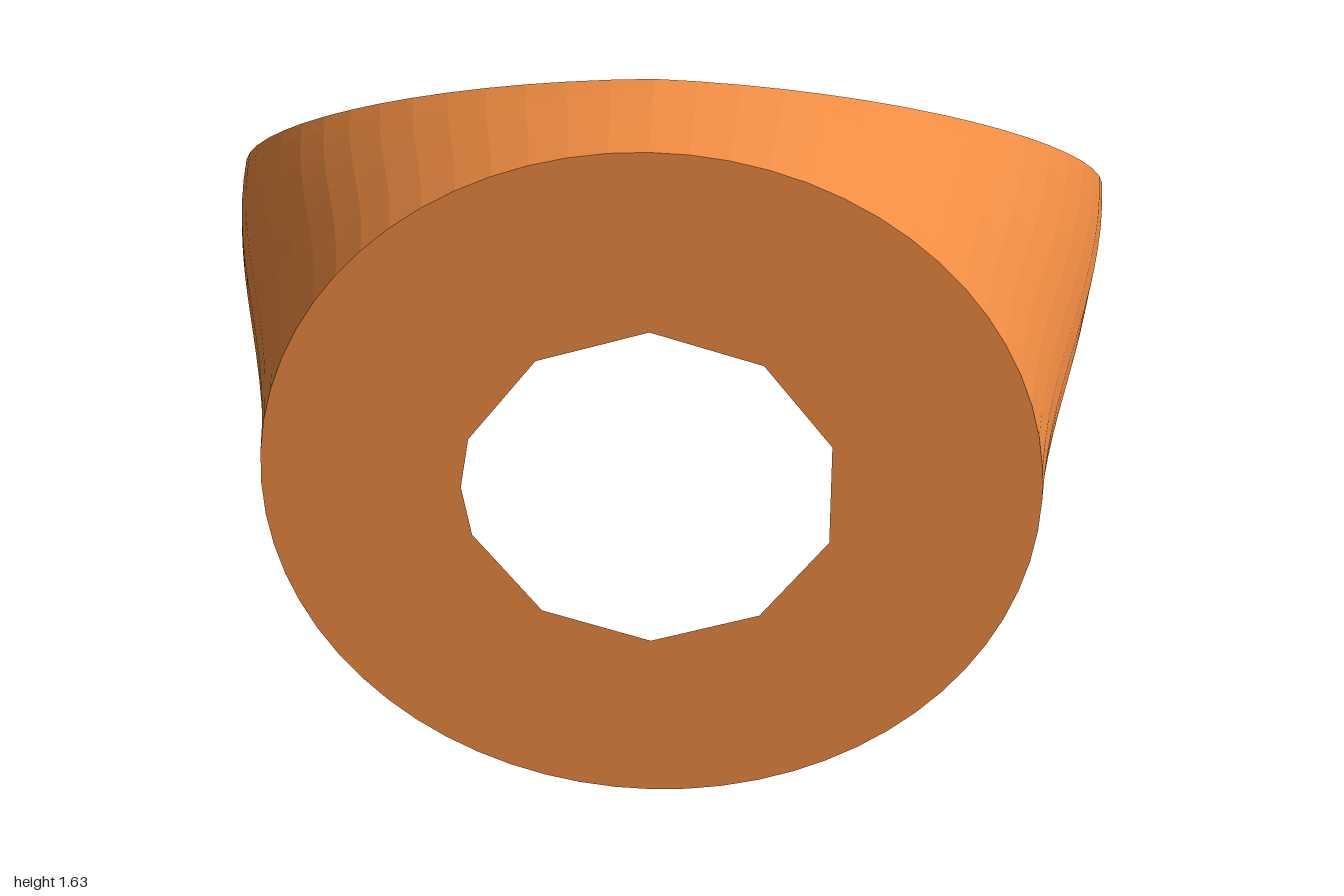
import * as THREE from 'three';

const V = (x, y, z) => new THREE.Vector3(x, y, z);
const HALF = Math.PI / 2;
const FRONT_R = 0.735, FRONT_Y = 0.8675;   // front round plate
const BASE_R = 0.73, BASE_Z = -0.155;      // round opening underneath
const STEPS = 14, STRANDS = 16;

// The three rims, right half of each as an angle from 0 to PI
const frontRim = (a) => V(FRONT_R * Math.sin(a), FRONT_Y + FRONT_R * Math.cos(a), 1);
const baseRim = (a) => V(BASE_R * Math.sin(a), 0, BASE_Z + BASE_R * Math.cos(a));
function slantRim(a) {
  const s = Math.sin(a);
  return V(0.94 * Math.sin(a - 0.14 * s), 0.935 + 0.695 * Math.cos(a) - 0.025 * s, -0.11 + 0.89 * Math.cos(a));
}

// Smooth strand from a round rim up to the slanted rim, leaving in the given direction
function strandToSlant(start, direction, a) {
  const end = slantRim(a), back = start.clone().sub(end), reach = 0.38 * back.length();
  back.x *= 0.3;
  return new THREE.CubicBezierCurve3(
    start, start.clone().addScaledVector(direction.normalize(), reach),
    end.clone().addScaledVector(back, 0.38), end).getPoints(STEPS);
}
const upperStrand = (a) => strandToSlant(frontRim(a), V(0.1 * Math.sin(a), 0.1 * Math.cos(a), -1), a);
const backStrand = (a) => strandToSlant(baseRim(a), V(0.4 * Math.sin(a), 1, 0.4 * Math.cos(a)), a);

// Elbow strand from the front plate down to the base: w = 0 at the side, 1 at the middle
function elbowStrand(w) {
  const p = frontRim(HALF * (1 + w)), q = baseRim(HALF * (1 - w));
  return new THREE.CubicBezierCurve3(
    p, p.clone().add(V(0, 0, -0.72 * (p.z - q.z))),
    q.clone().add(V(0, 0.72 * (p.y - q.y), 0)), q).getPoints(2 * STEPS);
}

// The elbow is drawn out at its sides to meet the two neighbouring side strands
function elbowStrands() {
  const outer = [...upperStrand(HALF), ...backStrand(HALF).reverse().slice(1)];
  const side = elbowStrand(0);
  return Array.from({ length: STRANDS + 1 }, (_, i) => {
    const w = i / STRANDS, pull = (1 - w) ** 1.5;
    return elbowStrand(w).map((p, j) => p.addScaledVector(outer[j].clone().sub(side[j]), pull));
  });
}

// Surface across neighbouring strands, mirrored when side is -1
function skin(strands, side) {
  const n = strands[0].length, pos = [], index = [];
  strands.forEach((strand, i) => strand.forEach((p, j) => {
    pos.push(side * p.x, p.y, p.z);
    if (i === strands.length - 1 || j === n - 1) return;
    const a = i * n + j, b = a + n;
    if (side > 0) index.push(a, b, a + 1, b, b + 1, a + 1);
    else index.push(a, a + 1, b, b, a + 1, b + 1);
  }));
  const g = new THREE.BufferGeometry();
  g.setAttribute('position', new THREE.Float32BufferAttribute(pos, 3));
  g.setIndex(index);
  g.computeVertexNormals();
  return g;
}

export function createModel() {
  const group = new THREE.Group();
  group.name = 'pipeJunction';
  const material = new THREE.MeshStandardMaterial({ color: 0xf08c42, side: THREE.DoubleSide, flatShading: true });
  const add = (name, geometry) => {
    const mesh = new THREE.Mesh(geometry, material);
    mesh.name = name;
    group.add(mesh);
    return mesh;
  };

  // Shell in three regions, each mirrored left and right
  const fan = (strand, from) =>
    Array.from({ length: STRANDS + 1 }, (_, i) => strand(from + HALF * i / STRANDS));
  const regions = { upperShell: fan(upperStrand, 0), elbowShell: elbowStrands(), backShell: fan(backStrand, HALF) };
  for (const [name, strands] of Object.entries(regions)) {
    add(name + 'Left', skin(strands, 1));
    add(name + 'Right', skin(strands, -1));
  }

  // Flat front plate with a ten-sided hole, one side of it split by an extra corner
  const ring = (r, n) => Array.from({ length: n }, (_, i) => {
    const a = 2 * Math.PI * i / n;
    return new THREE.Vector2(r * Math.sin(a), r * Math.cos(a));
  });
  const plate = new THREE.Shape(ring(FRONT_R, 4 * STRANDS));
  const hole = ring(0.357, 10);
  hole.splice(8, 0, new THREE.Vector2(-0.357, 0));
  plate.holes.push(new THREE.Path(hole));
  add('frontPlate', new THREE.ShapeGeometry(plate)).position.set(0, FRONT_Y, 1);

  return group;
}
